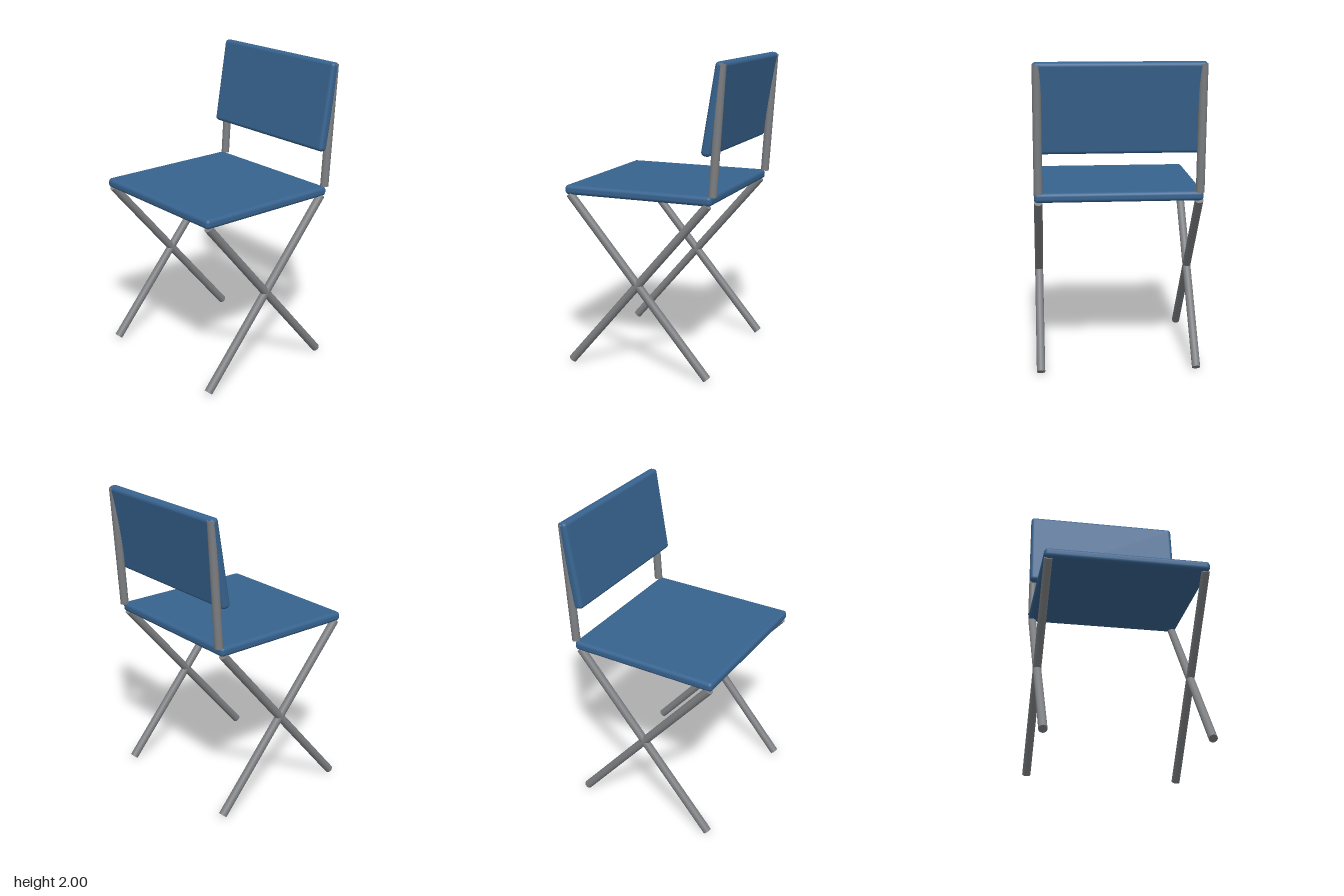
import * as THREE from 'three';
import { RoundedBoxGeometry } from 'three/addons/geometries/RoundedBoxGeometry.js';

export function createModel() {
  const chair = new THREE.Group();
  chair.name = 'chair';
  const blue = new THREE.MeshStandardMaterial({ name: 'blue panel', color: 0x37638f });
  const gray = new THREE.MeshStandardMaterial({ name: 'gray metal', color: 0x7c7e81 });
  const tubeX = 0.503, tubeRadius = 0.027;

  // Rounded slab, tilted about x
  function panel(name, w, h, d, y, z, tilt = 0) {
    const mesh = new THREE.Mesh(new RoundedBoxGeometry(w, h, d, 4, 0.024), blue);
    mesh.name = name;
    mesh.position.set(0, y, z);
    mesh.rotation.x = tilt;
    chair.add(mesh);
  }

  // Straight round tube between two points in a side plane
  function tube(name, x, y0, z0, y1, z1) {
    const a = new THREE.Vector3(x, y0, z0);
    const b = new THREE.Vector3(x, y1, z1);
    const dir = b.clone().sub(a);
    const mesh = new THREE.Mesh(new THREE.CylinderGeometry(tubeRadius, tubeRadius, dir.length(), 24), gray);
    mesh.name = name;
    mesh.position.copy(a).add(b).multiplyScalar(0.5);
    mesh.quaternion.setFromUnitVectors(new THREE.Vector3(0, 1, 0), dir.normalize());
    chair.add(mesh);
  }

  panel('seat', 1.06, 0.062, 1.0, 1.16, 0.04);
  panel('backrest', 1.06, 0.572, 0.062, 1.715, -0.463, -0.165);

  // Crossed legs and back post on each side
  for (const [side, s] of [['left', 1], ['right', -1]]) {
    tube(side + 'FrontFootLeg', s * tubeX, 0.018, 0.517, 1.13, -0.43);
    tube(side + 'RearFootLeg', s * tubeX, 0.018, -0.433, 1.13, 0.512);
    tube(side + 'BackPost', s * tubeX, 1.188, -0.462, 1.985, -0.514);
  }
  return chair;
}
